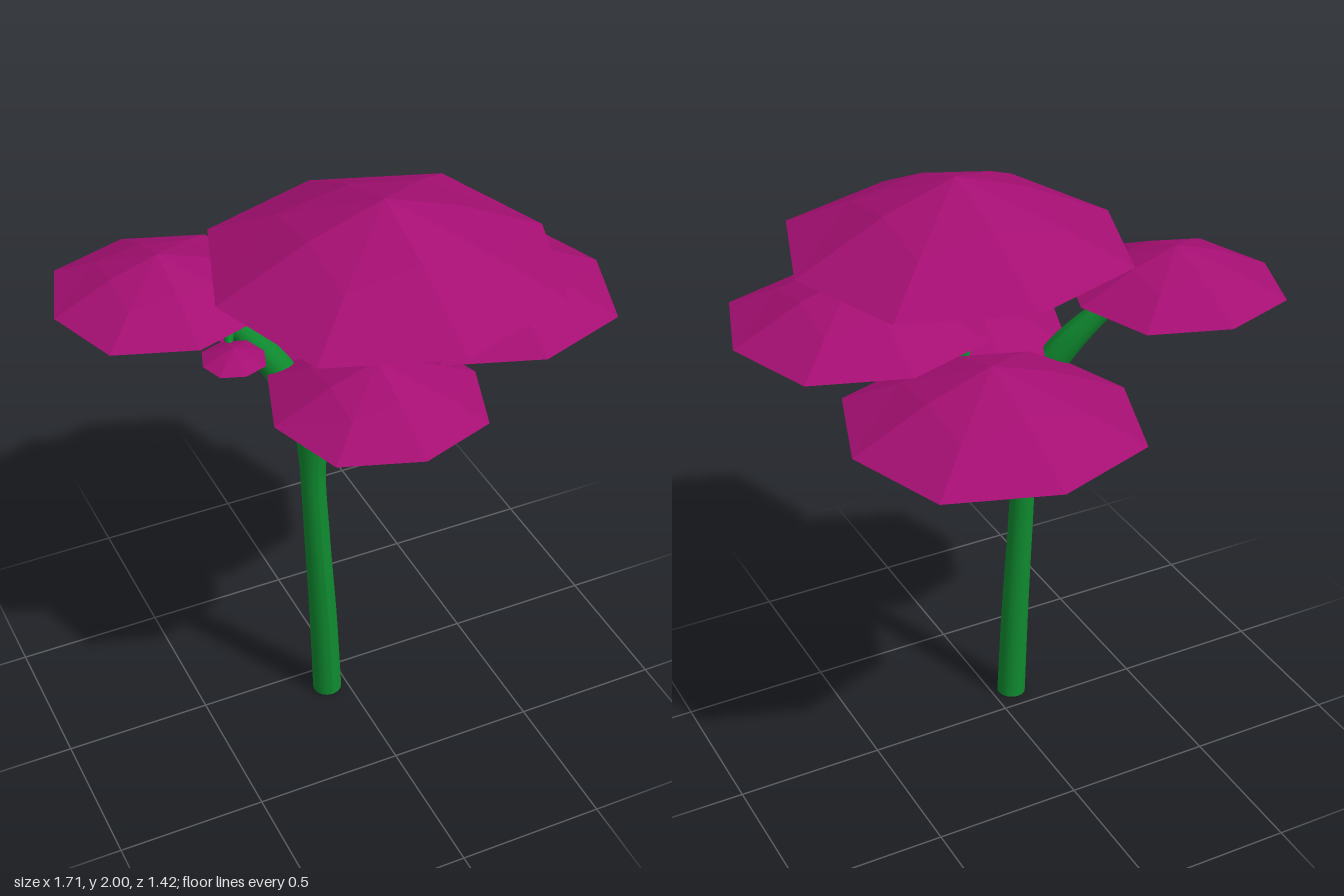
import * as THREE from 'three';

const bark = new THREE.MeshStandardMaterial({ color: 0x0f8a2f });
const petal = new THREE.MeshStandardMaterial({
  color: 0xa50f72, flatShading: true, side: THREE.DoubleSide,
});

// Tapered tube: each point is [x, y, z, radius]
function branch(name, points, steps = 24, sides = 12) {
  const curve = new THREE.CatmullRomCurve3(points.map(p => new THREE.Vector3(p[0], p[1], p[2])));
  const radii = new THREE.CatmullRomCurve3(points.map(p => new THREE.Vector3(p[3], p[1], 0)));
  const geo = new THREE.TubeGeometry(curve, steps, 1, sides);
  const pos = geo.attributes.position;
  const v = new THREE.Vector3();
  for (let i = 0; i <= steps; i++) {
    const t = curve.getUtoTmapping(i / steps);
    const centre = curve.getPoint(t);
    const r = Math.max(radii.getPoint(t).x, 0.002);
    for (let j = 0; j <= sides; j++) {
      const k = i * (sides + 1) + j;
      v.fromBufferAttribute(pos, k).sub(centre).multiplyScalar(r).add(centre);
      pos.setXYZ(k, v.x, v.y, v.z);
    }
  }
  geo.computeVertexNormals();
  const mesh = new THREE.Mesh(geo, bark);
  mesh.name = name;
  return mesh;
}

// Open faceted dome of unit radius and height: apex, square ring, octagonal rim
function domeGeometry() {
  const verts = [0, 1, 0];
  const addRing = (axis, diagonal, yAxis, yDiagonal) => {
    for (let i = 0; i < 8; i++) {
      const a = i * Math.PI / 4;
      const odd = i % 2;
      const r = odd ? diagonal * Math.SQRT2 : axis;
      verts.push(Math.sin(a) * r, odd ? yDiagonal : yAxis, Math.cos(a) * r);
    }
  };
  addRing(0.455, 0.455, 0.63, 0.44);
  addRing(1, 0.745, 0, 0);
  const index = [];
  for (let i = 0; i < 8; i++) {
    const a = 1 + i, b = 1 + (i + 1) % 8;
    const c = a + 8, d = b + 8;
    index.push(0, a, b);
    // split each side quad from its inner corner to the rim's axis point
    if (i % 2) index.push(a, c, d, a, d, b);
    else index.push(a, c, b, c, d, b);
  }
  const geo = new THREE.BufferGeometry();
  geo.setAttribute('position', new THREE.Float32BufferAttribute(verts, 3));
  geo.setIndex(index);
  geo.computeVertexNormals();
  return geo;
}

export function createModel() {
  const model = new THREE.Group();
  model.name = 'tree';

  // Trunk and limbs
  const wood = new THREE.Group();
  wood.name = 'wood';
  wood.add(branch('trunk', [
    [-0.07, 0, 0.09, 0.05], [-0.085, 0.35, 0.09, 0.047], [-0.105, 0.7, 0.09, 0.043],
    [-0.117, 1.0, 0.085, 0.043], [-0.113, 1.15, 0.08, 0.058], [-0.108, 1.24, 0.075, 0.06],
    [-0.105, 1.28, 0.07, 0.03],
  ], 36, 16));
  wood.add(branch('rightLimb', [
    [-0.115, 1.05, 0.08, 0.035], [-0.125, 1.18, 0.07, 0.055], [-0.165, 1.3, 0.045, 0.055],
    [-0.23, 1.42, 0.0, 0.048], [-0.335, 1.55, -0.06, 0.033], [-0.43, 1.65, -0.12, 0.02],
    [-0.49, 1.73, -0.16, 0.004],
  ]));
  wood.add(branch('leftLimb', [
    [-0.11, 1.08, 0.085, 0.035], [-0.08, 1.2, 0.085, 0.05], [0.02, 1.275, 0.088, 0.045],
    [0.1, 1.38, 0.09, 0.034], [0.122, 1.5, 0.09, 0.028], [0.092, 1.65, 0.09, 0.022],
    [0.105, 1.77, 0.09, 0.022], [0.13, 1.9, 0.1, 0.003],
  ], 32));
  wood.add(branch('twig', [
    [-0.335, 1.54, -0.07, 0.022], [-0.36, 1.545, 0.0, 0.017],
    [-0.39, 1.565, 0.08, 0.012], [-0.41, 1.59, 0.15, 0.003],
  ], 14));
  const foot = new THREE.Mesh(new THREE.CircleGeometry(0.05, 16), bark);
  foot.name = 'trunkFoot';
  foot.rotation.x = Math.PI / 2;
  foot.position.set(-0.07, 0, 0.09);
  wood.add(foot);
  model.add(wood);

  // Canopies: name, x, base y, z, radius, height
  const dome = domeGeometry();
  const canopies = [
    ['topCanopy', 0.09, 1.77, 0.16, 0.55, 0.23],
    ['rightCanopy', -0.515, 1.635, -0.175, 0.342, 0.14],
    ['leftCanopy', 0.438, 1.58, 0.16, 0.415, 0.172],
    ['backCanopy', 0.172, 1.35, -0.24, 0.472, 0.197],
    ['frontCanopy', 0.003, 1.385, 0.302, 0.344, 0.145],
    ['smallCanopy', -0.408, 1.567, 0.16, 0.1, 0.038],
  ];
  for (const [name, x, y, z, r, h] of canopies) {
    const mesh = new THREE.Mesh(dome, petal);
    mesh.name = name;
    mesh.position.set(x, y, z);
    mesh.scale.set(r, h, r);
    model.add(mesh);
  }
  return model;
}
